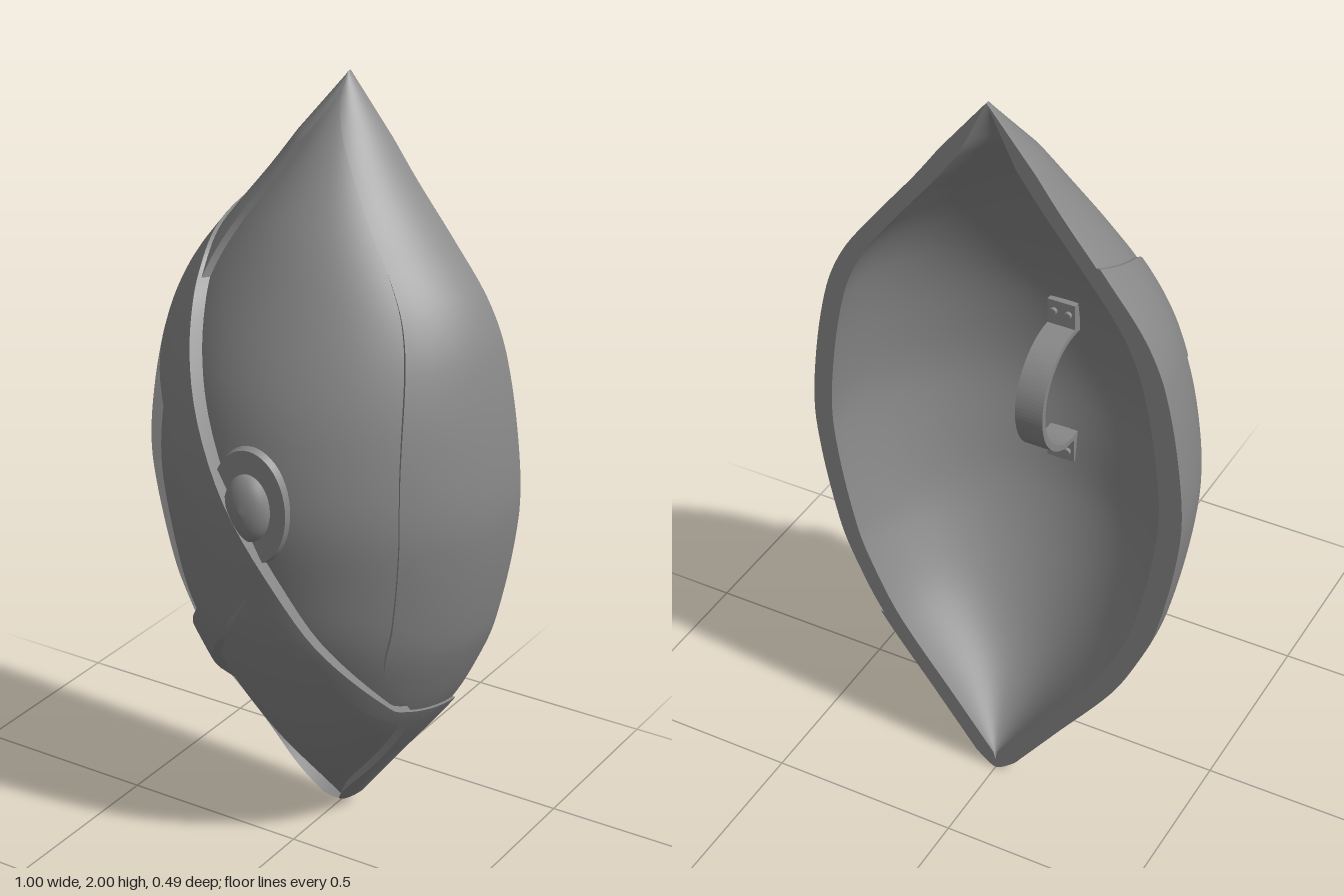
import * as THREE from 'three';

const BACK = -0.25;
const material = new THREE.MeshStandardMaterial({ color: 0x888888, side: THREE.DoubleSide });

// Smooth interpolation through [y, value] knots
function smooth(knots) {
  const slope = (i) => {
    const a = knots[Math.max(i - 1, 0)], b = knots[Math.min(i + 1, knots.length - 1)];
    return (b[1] - a[1]) / (b[0] - a[0]);
  };
  return (y) => {
    let i = 0;
    while (i < knots.length - 2 && y > knots[i + 1][0]) i++;
    const [y0, a] = knots[i], [y1, b] = knots[i + 1];
    const h = y1 - y0, t = THREE.MathUtils.clamp((y - y0) / h, 0, 1);
    const t2 = t * t, t3 = t2 * t;
    return (2 * t3 - 3 * t2 + 1) * a + (t3 - 2 * t2 + t) * h * slope(i)
      + (3 * t2 - 2 * t3) * b + (t3 - t2) * h * slope(i + 1);
  };
}

// Half width and depth of the bowl at each height
const width = smooth([[0, 0], [0.2, 0.15], [0.4, 0.3], [0.52, 0.365], [0.66, 0.42], [0.95, 0.473],
  [1.13, 0.468], [1.37, 0.425], [1.5, 0.37], [1.635, 0.27], [1.78, 0.155], [2, 0]]);
const depth = smooth([[0, 0], [0.04, 0.03], [0.26, 0.205], [0.47, 0.32], [0.66, 0.395], [0.81, 0.425],
  [1, 0.45], [1.18, 0.437], [1.32, 0.405], [1.5, 0.33], [1.68, 0.235], [2, 0.01]]);

// Lift fades out at the upper tip and rounds off at the lower one
const fade = (lift, y) => lift * THREE.MathUtils.clamp((2 - y) / 0.15, 0, 1)
  * Math.sqrt(THREE.MathUtils.clamp(y / 0.04, 0, 1));

// Point on the bowl: angle across, height, distance off the base surface (plates are thicker in front)
function onBowl(angle, y, lift) {
  const l = fade(lift, y);
  return [
    Math.max(0, width(y) + l) * Math.sin(angle),
    y,
    BACK + Math.max(0, depth(y) + l * (l > 0 ? 1.45 : 1)) * Math.cos(angle),
  ];
}

// Grid surface from f(u, v); front side is du x dv
function loft(f, nu, nv) {
  const positions = [], index = [];
  for (let j = 0; j <= nv; j++) for (let i = 0; i <= nu; i++) positions.push(...f(i / nu, j / nv));
  for (let j = 0; j < nv; j++) for (let i = 0; i < nu; i++) {
    const a = j * (nu + 1) + i, b = a + 1, c = a + nu + 1, d = c + 1;
    index.push(a, b, d, a, d, c);
  }
  const g = new THREE.BufferGeometry();
  g.setAttribute('position', new THREE.Float32BufferAttribute(positions, 3));
  g.setIndex(index);
  g.computeVertexNormals();
  return g;
}

function add(parent, name, geometry) {
  const mesh = new THREE.Mesh(geometry, material);
  mesh.name = name;
  parent.add(mesh);
  return mesh;
}

// Raised plate between two edge curves given as front-on [x, y] points
function plate(parent, name, left, right, lift) {
  const curve = (pts) => new THREE.SplineCurve(pts.map(([x, y]) => new THREE.Vector2(
    Math.asin(THREE.MathUtils.clamp(x / Math.max(width(y) + fade(lift, y), 0.001), -1, 1)), y)));
  const a = curve(left), b = curve(right);
  const at = (u, v, l) => {
    const p = a.getPoint(v).lerp(b.getPoint(v), u);
    return onBowl(THREE.MathUtils.clamp(p.x, -Math.PI / 2, Math.PI / 2), p.y, l);
  };
  const group = new THREE.Group();
  group.name = name;
  add(group, name + 'Face', loft((u, v) => at(u, v, lift), 20, 64));
  // Side walls down to the base surface
  const wall = (s) => lift * s - 0.004 * (1 - s);
  for (const e of [0, 1]) {
    add(group, name + 'Side', loft((s, v) => at(e, v, wall(e ? 1 - s : s)), 1, 64));
    add(group, name + 'End', loft((u, s) => at(u, e, wall(e ? 1 - s : s)), 20, 1));
  }
  parent.add(group);
}

// Plate running from an inner line out to the rim on one side
function edgePlate(parent, name, side, inner, lift) {
  const line = inner.map(([x, y]) => [x * side, y]);
  const rim = inner.map(([, y]) => [9 * side, y]);
  if (side > 0) plate(parent, name, line, rim, lift);
  else plate(parent, name, rim, line, lift);
}

export function createModel() {
  const model = new THREE.Group();
  model.name = 'shield';

  // Bowl: outer skin, inner skin and back rim
  const angle = (u) => (u - 0.5) * Math.PI;
  const wall = -0.032;
  add(model, 'outerShell', loft((u, v) => onBowl(angle(u), v * 2, 0), 48, 80));
  add(model, 'innerShell', loft((u, v) => onBowl(angle(1 - u), v * 2, wall), 48, 80));
  for (const side of [-1, 1]) {
    add(model, 'backRim', loft((u, v) =>
      onBowl(side * Math.PI / 2, v * 2, wall * (side > 0 ? u : 1 - u)), 1, 80));
  }

  // Upper flanks either side of the sunken centre
  const flankTop = [[0.19, 1.66], [0.075, 1.83], [0, 2]];
  edgePlate(model, 'leftFlank', 1, [[0.285, 0.39], [0.285, 0.56], [0.322, 0.73], [0.347, 0.92],
    [0.347, 1.13], [0.327, 1.37], [0.275, 1.53], ...flankTop], 0.018);
  edgePlate(model, 'rightFlank', -1, [[0.245, 1.42], [0.255, 1.51], ...flankTop], 0.018);

  // Crossing bands and raised borders
  const bandLift = 0.027;
  plate(model, 'mainBand',
    [[-9, 1.655], [-0.28, 1.57], [-0.255, 1.48], [-0.2, 1.33], [-0.02, 1.0], [0.165, 0.68],
      [0.27, 0.48], [0.3, 0.435], [9, 0.405]],
    [[-9, 1.3], [-0.455, 1.31], [-0.41, 1.33], [-0.26, 1.16], [-0.06, 0.89], [0.11, 0.65],
      [0.22, 0.47], [0.27, 0.37], [9, 0.25]], bandLift);
  plate(model, 'crossBand',
    [[-0.3, 0.4], [-0.2, 0.68], [-0.06, 0.88], [-0.03, 0.92]],
    [[-0.255, 0.36], [-0.165, 0.57], [0, 0.8], [0.03, 0.83]], 0.021);
  edgePlate(model, 'rightBorder', -1, [[0.28, 0.38], [0.3, 0.42], [0.39, 0.6], [0.445, 0.865],
    [0.445, 1.13], [0.41, 1.34], [0.38, 1.4]], bandLift);
  for (const side of [-1, 1]) {
    edgePlate(model, 'lowerBorder', side,
      [[0, 0], [0.02, 0.035], [0.142, 0.185], [0.26, 0.35], [0.265, 0.4]], bandLift);
  }

  // Oval boss on the front, partly under the main band
  const boss = new THREE.Group();
  boss.name = 'boss';
  const disc = add(boss, 'bossDisc', new THREE.CylinderGeometry(0.105, 0.11, 0.022, 48));
  disc.position.y = 0.008;
  const dome = [[0.062, 0], [0.062, 0.026], [0.058, 0.036], [0.045, 0.048], [0.025, 0.056], [0, 0.059]];
  add(boss, 'bossDome', new THREE.LatheGeometry(dome.map(([r, h]) => new THREE.Vector2(r, h)), 48));
  boss.rotation.x = Math.PI / 2;
  boss.scale.z = 1.4;
  boss.position.set(0.002, 1.035, 0.185);
  model.add(boss);

  // Grip inside the bowl, with riveted feet
  const grip = new THREE.Group();
  grip.name = 'grip';
  const half = Math.PI / 2;
  const shape = new THREE.Shape();
  shape.moveTo(0, 0.24);
  shape.lineTo(0.026, 0.24);
  shape.lineTo(0.026, 0.17);
  shape.absellipse(0.026, 0, 0.17, 0.17, half, -half, true);
  shape.lineTo(0.026, -0.24);
  shape.lineTo(0, -0.24);
  shape.lineTo(0, -0.155);
  shape.lineTo(0.026, -0.155);
  shape.absellipse(0.026, 0, 0.154, 0.155, -half, half, false);
  shape.lineTo(0, 0.155);
  const bar = add(grip, 'gripBar', new THREE.ExtrudeGeometry(shape,
    { depth: 0.076, bevelEnabled: false, curveSegments: 24 }));
  bar.rotation.y = half;
  bar.position.x = -0.038;
  for (const y of [-0.21, 0.21]) for (const x of [-0.02, 0.02]) {
    const rivet = add(grip, 'rivet', new THREE.CylinderGeometry(0.01, 0.01, 0.012, 12));
    rivet.rotation.x = half;
    rivet.position.set(x, y, -0.03);
  }
  grip.position.set(0.01, 1.0, 0.153);
  model.add(grip);

  return model;
}
